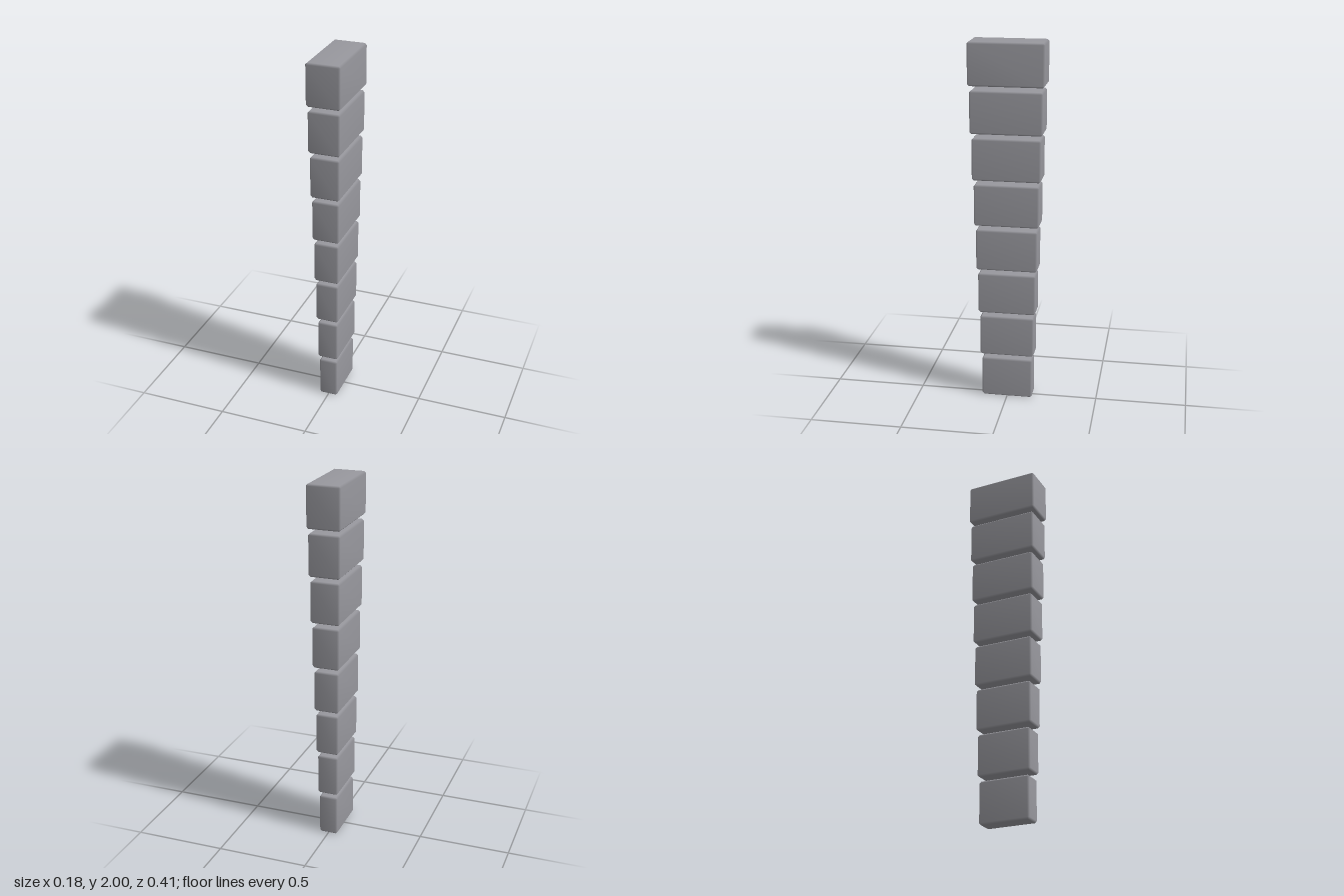
import * as THREE from 'three';
import { ConvexGeometry } from 'three/addons/geometries/ConvexGeometry.js';
import { mergeVertices } from 'three/addons/utils/BufferGeometryUtils.js';

// Box with a single chamfer on every edge and softly shaded bevels
function chamferedBox(w, h, d, bevel) {
  const half = [w / 2, h / 2, d / 2];
  const points = [];
  for (const sx of [-1, 1]) for (const sy of [-1, 1]) for (const sz of [-1, 1]) {
    // each corner is cut into three points, one per adjoining face
    for (let face = 0; face < 3; face++) {
      const [x, y, z] = half.map((v, axis) => (axis === face ? v : v - bevel));
      points.push(new THREE.Vector3(sx * x, sy * y, sz * z));
    }
  }
  const hull = new ConvexGeometry(points);
  hull.deleteAttribute('normal');
  const geometry = mergeVertices(hull, 1e-5);
  geometry.computeVertexNormals();
  return geometry;
}

export function createModel() {
  const group = new THREE.Group();
  group.name = 'blockColumn';
  const material = new THREE.MeshStandardMaterial({ color: 0x98989e });

  const count = 8;
  const height = 0.229;
  const pitch = (2 - height) / (count - 1);

  // Separate blocks, evenly spaced and widening toward the top
  for (let i = 0; i < count; i++) {
    const t = i / (count - 1);
    const width = THREE.MathUtils.lerp(0.104, 0.184, t);
    const depth = THREE.MathUtils.lerp(0.282, 0.405, t);
    const block = new THREE.Mesh(chamferedBox(width, height, depth, 0.01), material);
    block.name = `block${i + 1}`;
    block.position.y = height / 2 + i * pitch;
    group.add(block);
  }
  return group;
}
